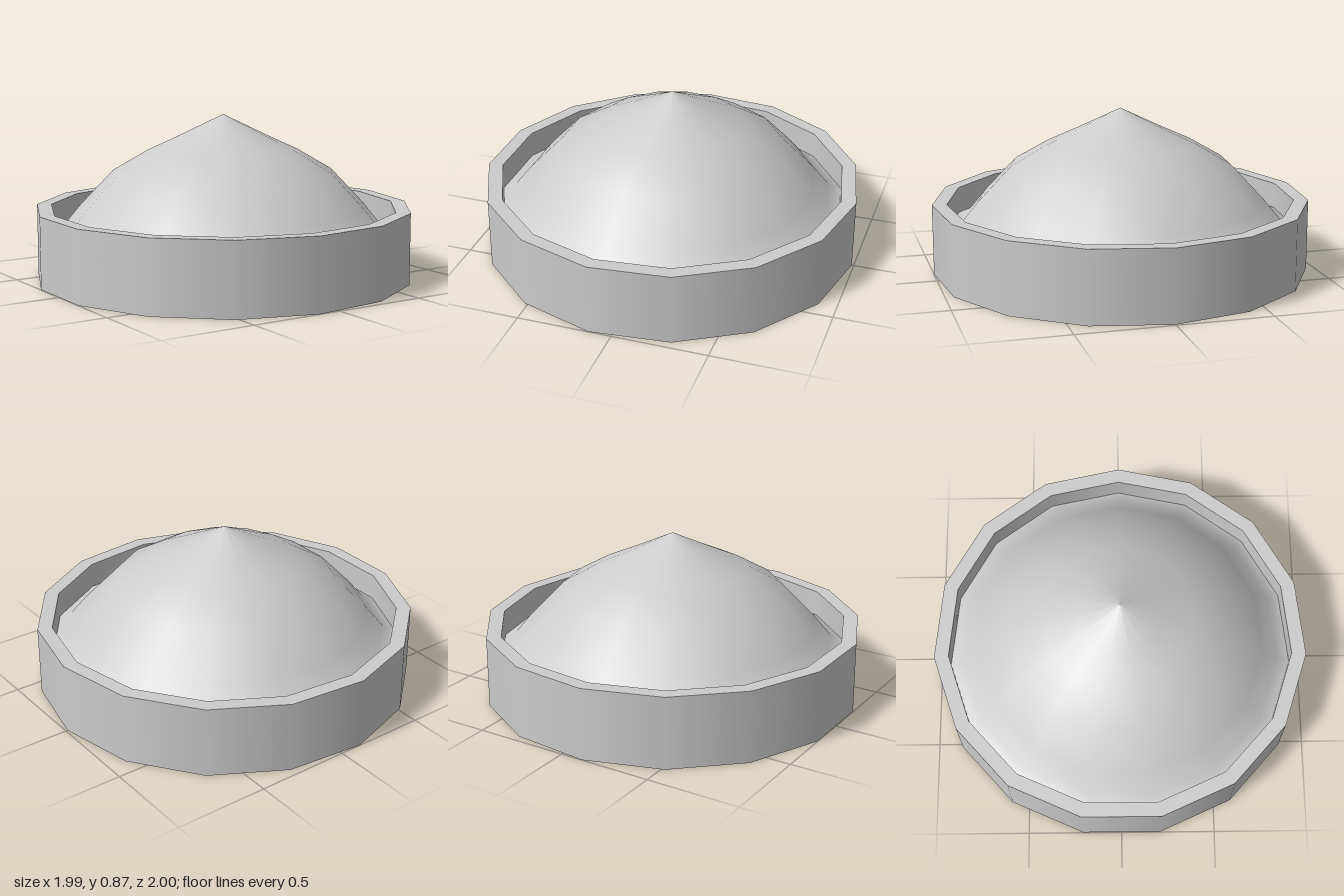
import * as THREE from 'three';

const SIDES = 15;

export function createModel() {
  const group = new THREE.Group();
  group.name = 'domedDish';
  const material = new THREE.MeshStandardMaterial({ color: 0xcccccc });

  const outer = 1.005, inner = 0.927, top = 0.38, floor = 0.24;

  // Each band is smooth in itself; the borders between bands stay sharp.
  // Profiles run bottom centre -> outside -> over the rim -> dome apex.
  const bands = {
    base: [[0, 0], [outer, 0]],
    outerWall: [[outer, 0], [outer, top]],
    rimTop: [[outer, top], [inner, top]],
    innerWall: [[inner, top], [inner, floor]],
    dome: [
      [inner, floor], [0.86, 0.27], [0.77, 0.38], [0.59, 0.57],
      [0.402, 0.68], [0.24, 0.755], [0, 0.872],
    ],
  };

  for (const [name, profile] of Object.entries(bands)) {
    const points = profile.map(([r, y]) => new THREE.Vector2(r, y));
    // One corner points to +x, one flat side to -x
    const geometry = new THREE.LatheGeometry(points, SIDES, Math.PI / 2);
    const mesh = new THREE.Mesh(geometry, material);
    mesh.name = name;
    group.add(mesh);
  }

  // The odd number of sides puts the axis slightly off the middle
  for (const mesh of group.children) mesh.position.x = -0.0145;
  return group;
}
